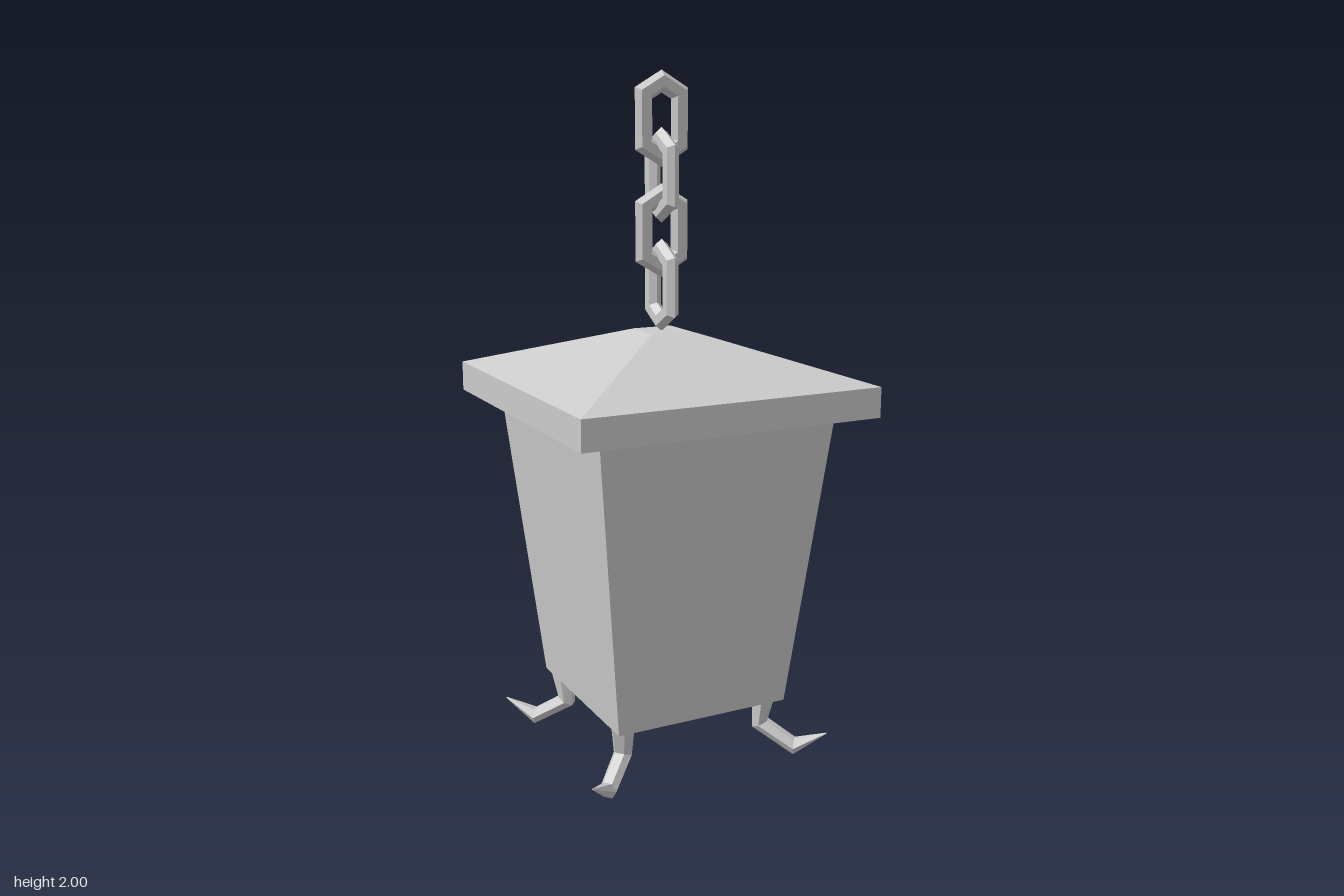
import * as THREE from 'three';

const material = new THREE.MeshStandardMaterial({ color: 0xcccccc, flatShading: true });

function addMesh(parent, name, geometry) {
  const mesh = new THREE.Mesh(geometry, material);
  mesh.name = name;
  parent.add(mesh);
  return mesh;
}

// Square block tapering between two half-widths
function taperedBox(yBottom, halfBottom, yTop, halfTop) {
  const g = new THREE.CylinderGeometry(halfTop * Math.SQRT2, halfBottom * Math.SQRT2, yTop - yBottom, 4, 1);
  g.rotateY(Math.PI / 4);
  g.translate(0, (yTop + yBottom) / 2, 0);
  return g;
}

// Hexagonal ring with a six-sided section, stretched along y
function chainLink() {
  const g = new THREE.TorusGeometry(0.0645, 0.031, 6, 6);
  g.rotateZ(Math.PI / 6);
  const p = g.attributes.position;
  for (let i = 0; i < p.count; i++) {
    p.setY(i, p.getY(i) + Math.sign(p.getY(i)) * 0.037);
    p.setZ(i, p.getZ(i) * 0.7);
  }
  return g;
}

// Six-sided bent claw lofted along a short path: [x, y, z, radius]
function clawFoot(sx, sz) {
  const path = [
    [0.234, 0.185, 0.218, 0.037],
    [0.229, 0.09, 0.206, 0.028],
    [0.308, 0.026, 0.275, 0.026],
    [0.381, 0.076, 0.336, 0.002],
  ];
  const sides = 6;
  const pts = path.map(([x, y, z]) => new THREE.Vector3(x * sx, y, z * sz));
  const side = new THREE.Vector3(0.66 * sz, 0, -0.75 * sx).normalize();
  const positions = [], index = [];
  pts.forEach((p, i) => {
    const t = new THREE.Vector3();
    if (i > 0) t.add(p.clone().sub(pts[i - 1]).normalize());
    if (i < pts.length - 1) t.add(pts[i + 1].clone().sub(p).normalize());
    const n = t.normalize().clone().cross(side).normalize();
    for (let j = 0; j < sides; j++) {
      const a = (j / sides) * Math.PI * 2, r = path[i][3];
      const v = p.clone().addScaledVector(side, r * Math.cos(a)).addScaledVector(n, r * Math.sin(a));
      positions.push(v.x, Math.max(0, v.y), v.z);
    }
  });
  for (let i = 0; i < pts.length - 1; i++) {
    for (let j = 0; j < sides; j++) {
      const k = (j + 1) % sides, a = i * sides, b = a + sides;
      index.push(a + j, a + k, b + k, a + j, b + k, b + j);
    }
  }
  // End caps
  const last = (pts.length - 1) * sides;
  for (let j = 1; j < sides - 1; j++) {
    index.push(0, j + 1, j, last, last + j, last + j + 1);
  }
  const g = new THREE.BufferGeometry();
  g.setAttribute('position', new THREE.Float32BufferAttribute(positions, 3));
  g.setIndex(index);
  g.computeVertexNormals();
  return g;
}

export function createModel() {
  const model = new THREE.Group();
  model.name = 'hangingLantern';

  // Tapered body
  addMesh(model, 'body', taperedBox(0.18, 0.27, 1.055, 0.362));

  // Roof: small lip, square rim and sloping top
  const roof = new THREE.Group();
  roof.name = 'roof';
  model.add(roof);
  addMesh(roof, 'roofLip', taperedBox(1.045, 0.363, 1.06, 0.376));
  addMesh(roof, 'roofRim', taperedBox(1.058, 0.452, 1.145, 0.452));
  addMesh(roof, 'roofSlope', taperedBox(1.145, 0.452, 1.274, 0.06));

  // Chain: links alternate by a quarter turn
  const chain = new THREE.Group();
  chain.name = 'chain';
  model.add(chain);
  for (let i = 0; i < 4; i++) {
    const link = addMesh(chain, 'chainLink', chainLink());
    link.position.y = 1.868 - i * 0.155;
    link.rotation.y = (i % 2) * Math.PI / 2;
  }

  // Claw feet at the four corners
  for (const sx of [-1, 1]) {
    for (const sz of [-1, 1]) addMesh(model, 'clawFoot', clawFoot(sx, sz));
  }
  return model;
}
